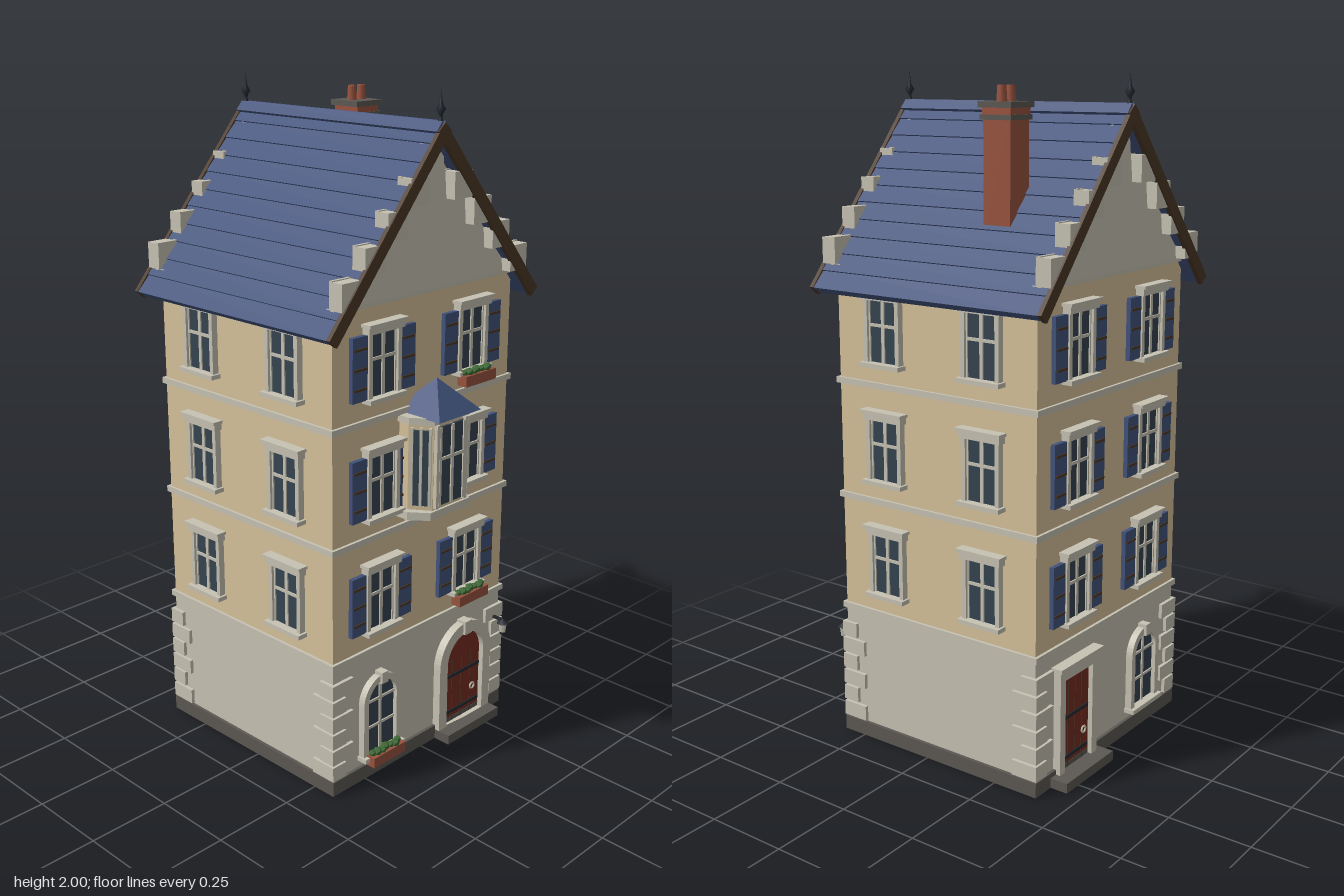
import * as THREE from 'three';

const mat = (name, color) => Object.assign(new THREE.MeshStandardMaterial({ color }), { name });
const M = {
  wall: mat('plaster', 0xd6c19a), stone: mat('pale stone', 0xc6c2b3), roof: mat('blue slate', 0x41527c),
  brick: mat('red brick', 0x99533e), base: mat('dark stone', 0x5c5853), door: mat('red door', 0x752c20),
  glass: mat('window glass', 0x35434f), timber: mat('dark timber', 0x4b3726),
  leaf: mat('foliage', 0x3f6b36), iron: mat('black iron', 0x23282f),
};

function add(parent, name, geo, m, x = 0, y = 0, z = 0) {
  const mesh = new THREE.Mesh(geo, m);
  mesh.name = name;
  mesh.position.set(x, y, z);
  parent.add(mesh);
  return mesh;
}
const box = (p, name, m, w, h, d, x, y, z) => add(p, name, new THREE.BoxGeometry(w, h, d), m, x, y, z);
function group(parent, name, x = 0, y = 0, z = 0, ry = 0) {
  const g = new THREE.Group();
  g.name = name;
  g.position.set(x, y, z);
  g.rotation.y = ry;
  parent.add(g);
  return g;
}
const extrude = (shape, depth) => new THREE.ExtrudeGeometry(shape, { depth, bevelEnabled: false, curveSegments: 12 });
const polygon = pts => new THREE.Shape(pts.map(p => new THREE.Vector2(...p)));

// Round-headed outline: r is half the width, s the height of the straight part
function arch(r, s, Type = THREE.Shape) {
  const a = new Type();
  a.moveTo(-r, 0);
  a.lineTo(r, 0);
  a.lineTo(r, s);
  a.absarc(0, s, r, 0, Math.PI, false);
  a.lineTo(-r, 0);
  return a;
}

// Glass with a cross of glazing bars
function glazing(g, w, h) {
  box(g, 'glass', M.glass, w, h, 0.008, 0, h / 2, 0.004);
  box(g, 'mullion', M.stone, 0.011, h, 0.012, 0, h / 2, 0.006);
  box(g, 'transom', M.stone, w, 0.009, 0.012, 0, h * 0.6, 0.006);
  for (const s of [-1, 1]) box(g, 'sash', M.stone, 0.009, h, 0.012, s * (w / 2 - 0.004), h / 2, 0.006);
}

function flowerBox(p, x, y) {
  const g = group(p, 'flowerBox', x, y, 0.035);
  box(g, 'planter', M.brick, 0.135, 0.032, 0.034, 0, 0.016, 0);
  for (let i = 0; i < 7; i++)
    add(g, 'plant', new THREE.IcosahedronGeometry(0.012 + 0.003 * (i % 2), 0), M.leaf, (i - 3) * 0.018, 0.037, 0.004 * (i % 3 - 1));
}

function windowUnit(p, x, y, shutters) {
  const g = group(p, 'window', x, y, 0), h = 0.19;
  glazing(g, 0.11, h);
  for (const s of [-1, 1]) {
    box(g, 'jamb', M.stone, 0.014, h, 0.02, s * 0.058, h / 2, 0.01);
    if (!shutters) continue;
    box(g, 'shutter', M.roof, 0.058, 0.182, 0.014, s * 0.096, 0.096, 0.009);
    for (const k of [0.04, 0.096, 0.152]) box(g, 'shutterBatten', M.timber, 0.05, 0.007, 0.004, s * 0.096, k, 0.017);
  }
  box(g, 'lintel', M.stone, 0.142, 0.022, 0.026, 0, h + 0.008, 0.013);
  box(g, 'lintelCap', M.stone, 0.154, 0.009, 0.034, 0, h + 0.022, 0.017);
  box(g, 'sill', M.stone, 0.146, 0.013, 0.034, 0, 0, 0.017);
}

function archedWindow(p, x) {
  const g = group(p, 'archedWindow', x, 0.075, 0), s = 0.175;
  add(g, 'glass', extrude(arch(0.062, s), 0.008), M.glass);
  const ring = arch(0.08, s);
  ring.holes.push(arch(0.06, s, THREE.Path));
  add(g, 'surround', extrude(ring, 0.022), M.stone);
  box(g, 'mullion', M.stone, 0.01, 0.232, 0.012, 0, 0.116, 0.006);
  for (const y of [0.09, s]) box(g, 'transom', M.stone, 0.12, 0.008, 0.012, 0, y, 0.006);
  box(g, 'keystone', M.stone, 0.026, 0.036, 0.03, 0, s + 0.072, 0.015);
  box(g, 'sill', M.stone, 0.17, 0.014, 0.035, 0, 0, 0.017);
}

// Planked door, round or square headed, with straps, ring handle and step
function doorway(p, x, round) {
  const g = group(p, 'doorway', x, 0.03, 0), r = round ? 0.088 : 0.07, s = round ? 0.212 : 0.29;
  if (round) {
    add(g, 'door', extrude(arch(r, s), 0.009), M.door);
    const ring = arch(0.122, s);
    ring.holes.push(arch(0.086, s, THREE.Path));
    add(g, 'surround', extrude(ring, 0.026), M.stone);
    box(g, 'keystone', M.stone, 0.032, 0.044, 0.034, 0, s + 0.107, 0.017);
  } else {
    box(g, 'door', M.door, 2 * r, s, 0.009, 0, s / 2, 0.0045);
    for (const k of [-1, 1]) box(g, 'jamb', M.stone, 0.026, s, 0.024, k * 0.083, s / 2, 0.012);
    box(g, 'lintel', M.stone, 0.205, 0.034, 0.028, 0, s + 0.017, 0.014);
    box(g, 'lintelCap', M.stone, 0.22, 0.012, 0.036, 0, s + 0.038, 0.018);
  }
  for (const k of [-0.5, 0, 0.5]) box(g, 'plankGroove', M.timber, 0.003, s, 0.002, k * r, s / 2, 0.0095);
  for (const y of [0.035, 0.16]) box(g, 'strap', M.iron, 2 * r - 0.01, 0.01, 0.004, 0, y, 0.011);
  add(g, 'handle', new THREE.TorusGeometry(0.01, 0.003, 6, 12), M.stone, r * 0.55, 0.09, 0.015);
  box(g, 'step', M.base, 0.245, 0.03, 0.066, 0, -0.015, 0.033);
}

// Crow-stepped gable: leaning stone courses with projecting end blocks
function gable(p) {
  for (let i = 0; i < 5; i++) {
    const half = 0.385 - 0.086 * i, y = 1.495 + 0.08 * i;
    box(p, 'gableCourse', M.stone, 2 * half, 0.081, 0.012, 0, y, 0.009).rotation.x = -0.08;
    if (i < 4) for (const s of [-1, 1]) box(p, 'gableStep', M.stone, 0.075, 0.076, 0.048, s * (half - 0.0375), y, 0.024);
  }
}

function oriel(p) {
  const g = group(p, 'oriel');
  const bay = (w, f, d1, d2) => polygon([[-w, 0], [w, 0], [w, -d1], [f, -d2], [-f, -d2], [-w, -d1]]);
  const slab = (name, m, y, h, ...a) => { add(g, name, extrude(bay(...a), h), m, 0, y + h, 0).rotation.x = Math.PI / 2; };
  // The outline is flipped so the bay projects outwards
  const layer = (name, m, y, h, ...a) => { add(g, name, extrude(bay(...a), h), m, 0, y, 0).rotation.x = -Math.PI / 2; };
  void slab;
  layer('bayBody', M.wall, 0.83, 0.275, 0.108, 0.068, 0.035, 0.095);
  layer('bayBase', M.stone, 0.808, 0.024, 0.125, 0.085, 0.05, 0.103);
  layer('bayCornice', M.stone, 1.09, 0.02, 0.115, 0.075, 0.042, 0.103);
  const front = group(g, 'bayWindow', 0, 0.845, 0.096);
  glazing(front, 0.11, 0.235);
  for (const s of [-1, 1]) {
    box(front, 'bayPost', M.stone, 0.012, 0.25, 0.014, s * 0.061, 0.118, 0.004);
    const side = group(g, 'baySideWindow', s * 0.088, 0.845, 0.066, s * 0.983);
    box(side, 'glass', M.glass, 0.05, 0.225, 0.008, 0, 0.115, 0.003);
    for (const k of [-1, 0, 1]) box(side, 'sash', M.stone, 0.008, 0.235, 0.012, k * 0.026, 0.118, 0.005);
  }
  for (const x of [-0.07, 0, 0.07]) {
    const c = add(g, 'corbel', extrude(polygon([[0, 0], [0.08, 0], [0.06, -0.014], [0, -0.032]]), 0.02), M.stone, x - 0.01, 0.81, 0);
    c.rotation.y = -Math.PI / 2;
    c.position.x = x + 0.01;
  }
  const cap = add(g, 'bayRoof', new THREE.ConeGeometry(0.09 * Math.SQRT2, 0.095, 4, 1).rotateY(Math.PI / 4).toNonIndexed(), M.roof, 0, 1.155, 0.043);
  cap.geometry.computeVertexNormals();
}

function lantern(p) {
  const g = group(p, 'lantern', 0.34, 0.3, 0.05);
  box(g, 'bracket', M.iron, 0.008, 0.008, 0.05, 0, 0.025, -0.025);
  add(g, 'lamp', new THREE.CylinderGeometry(0.014, 0.01, 0.032, 6), M.stone);
  add(g, 'lampCap', new THREE.ConeGeometry(0.021, 0.016, 6), M.iron, 0, 0.023, 0);
  add(g, 'lampBase', new THREE.CylinderGeometry(0.011, 0.008, 0.008, 6), M.iron, 0, -0.019, 0);
}

function roof(house) {
  const run = 0.432, drop = 0.512, len = Math.hypot(run, drop), angle = Math.atan2(drop, run), n = 11;
  for (const s of [-1, 1]) {
    const g = group(house, 'roofSide', 0, 1.905, 0);
    g.rotation.z = -s * angle;
    box(g, 'roofDeck', M.roof, len, 0.022, 0.79, s * len / 2, -0.017, 0);
    for (let i = 0; i < n; i++)
      box(g, 'slateCourse', M.roof, len / n + 0.006, 0.008, 0.79, s * (i + 0.5) * len / n, -0.004, 0).rotation.z = s * 0.07;
    box(g, 'ridgeCap', M.roof, 0.034, 0.012, 0.8, s * 0.015, 0.004, 0);
    for (const e of [-1, 1]) box(g, 'bargeboard', M.timber, len + 0.006, 0.036, 0.014, s * len / 2, -0.014, e * 0.399);
  }
  for (const e of [-1, 1]) {
    const profile = [[0.012, 0], [0.005, 0.02], [0.006, 0.03], [0.014, 0.043], [0.005, 0.058], [0, 0.1]];
    add(house, 'finial', new THREE.LatheGeometry(profile.map(q => new THREE.Vector2(...q)), 10), M.iron, 0, 1.9, e * 0.388);
  }
}

function chimney(house) {
  const g = group(house, 'chimney', 0.225, 0, -0.14);
  box(g, 'stack', M.brick, 0.086, 0.34, 0.09, 0, 1.71, 0);
  box(g, 'lowerCap', M.base, 0.1, 0.014, 0.103, 0, 1.877, 0);
  box(g, 'neck', M.brick, 0.09, 0.02, 0.094, 0, 1.893, 0);
  box(g, 'upperCap', M.base, 0.108, 0.016, 0.11, 0, 1.91, 0);
  for (const s of [-1, 1]) add(g, 'pot', new THREE.CylinderGeometry(0.012, 0.015, 0.046, 10), M.brick, s * 0.02, 1.938, 0);
}

export function createModel() {
  const model = new THREE.Group();
  model.name = 'townhouse';
  const D = 0.352, W = 0.375, house = group(model, 'house', 0, 0, -0.035);

  // Walls, plinth and string courses
  const outline = polygon([[-W, 0.41], [W, 0.41], [W, 1.43], [0, 1.87], [-W, 1.43]]);
  add(house, 'upperWalls', extrude(outline, 2 * D), M.wall, 0, 0, -D);
  box(house, 'groundFloor', M.stone, 2 * W, 0.39, 2 * D, 0, 0.215, 0);
  box(house, 'plinth', M.base, 0.77, 0.045, 2 * D + 0.02, 0, 0.0225, 0);
  for (const y of [0.415, 0.768, 1.118]) box(house, 'stringCourse', M.stone, 0.768, 0.018, 2 * D + 0.018, 0, y, 0);
  for (const e of [-1, 1]) box(house, 'gableSill', M.stone, 0.76, 0.014, 0.03, 0, 1.451, e * D);

  // Alternating corner stones
  for (const sx of [-1, 1]) for (const sz of [-1, 1]) for (let i = 0; i < 6; i++) {
    const w = i % 2 ? 0.085 : 0.055, d = i % 2 ? 0.055 : 0.085;
    box(house, 'quoin', M.stone, w, 0.046, d, sx * (0.386 - w / 2), 0.072 + i * 0.053, sz * (D + 0.011 - d / 2));
  }

  // Four faces, each built facing outwards
  const front = group(house, 'frontFace', 0, 0, D), back = group(house, 'backFace', 0, 0, -D, Math.PI);
  const sides = [-1, 1].map(s => group(house, 'sideFace', s * W, 0, 0, s * Math.PI / 2));
  for (const y of [0.482, 0.832, 1.182]) for (const s of [-1, 1]) {
    for (const f of [front, back]) windowUnit(f, s * 0.188, y, true);
    for (const f of sides) windowUnit(f, s * 0.175, y, false);
  }
  archedWindow(front, -0.188);
  archedWindow(back, 0.188);
  doorway(front, 0.188, true);
  doorway(back, -0.188, false);
  flowerBox(front, -0.188, 0.055);
  flowerBox(front, 0.188, 0.447);
  flowerBox(front, 0.188, 1.147);
  lantern(front);
  oriel(front);
  gable(front);
  gable(back);
  roof(house);
  chimney(house);
  return model;
}
